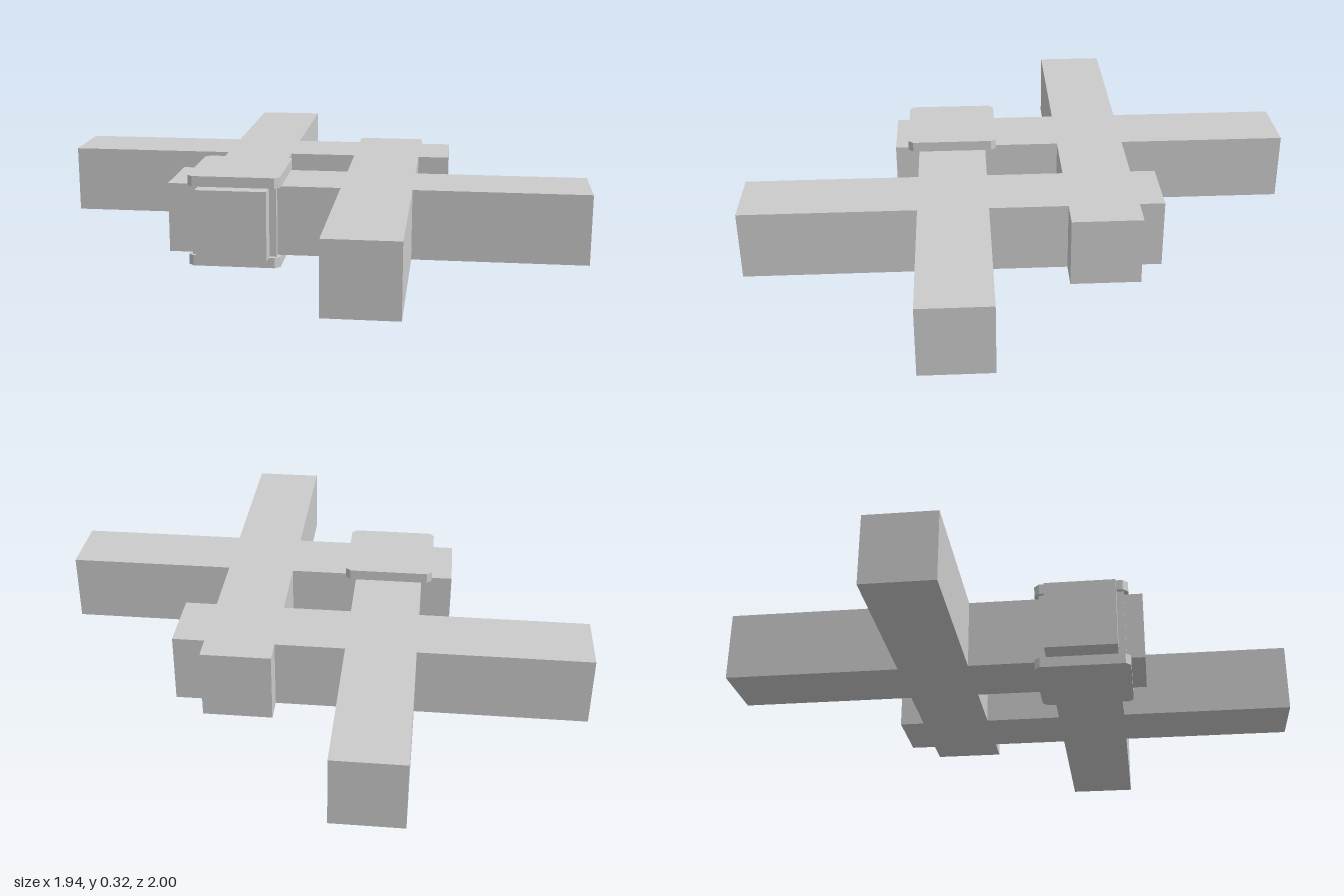
import * as THREE from 'three';

const GREY = new THREE.MeshStandardMaterial({ color: 0xcccccc, flatShading: true });

// Plan outline in (x, z), extruded between two heights
function slab(name, points, y0, y1, hole) {
  const shape = new THREE.Shape(points.map(([x, z]) => new THREE.Vector2(x, z)));
  if (hole) shape.holes.push(new THREE.Path(hole.map(([x, z]) => new THREE.Vector2(x, z))));
  const geometry = new THREE.ExtrudeGeometry(shape, { depth: y1 - y0, bevelEnabled: false });
  geometry.rotateX(Math.PI / 2);
  geometry.translate(0, y1, 0);
  const mesh = new THREE.Mesh(geometry, GREY);
  mesh.name = name;
  return mesh;
}

export function createModel() {
  const group = new THREE.Group();
  group.name = 'crossedBeams';
  const low = 0.037, high = 0.283, top = 0.32;

  // Four interlocking beams: inner and outer edges, then half the outline, turned for the rest
  const a = 0.122, b = 0.367, c = 0.137, d = 0.384;
  const half = [
    [b, c], [0.97, c], [0.97, d], [b, d], [b, 1], [a, 1], [a, d],
    [-a, d], [-a, 0.473], [-b, 0.473], [-b, d], [-0.48, d], [-0.48, c], [-b, c],
  ];
  const outline = [...half, ...half.map(([x, z]) => [-x, -z])];
  const hole = [[-a, -c], [-a, c], [a, c], [a, -c]];
  group.add(slab('beamLattice', outline, low, high, hole));

  // Clamp around one crossing: top and bottom plates with clipped corners
  const cx = -(a + b) / 2, cz = (c + d) / 2;
  const w = 0.161, l = 0.164, k = 0.018;
  const plate = [
    [w, l - k], [w - k, l], [k - w, l], [-w, l - k],
    [-w, k - l], [k - w, -l], [w - k, -l], [w, k - l],
  ].map(([x, z]) => [cx + x, cz + z]);
  group.add(slab('clampTopPlate', plate, high, top));
  group.add(slab('clampBottomPlate', plate, 0, low));

  // Slim corner posts joining the plates
  const t = 0.025;
  for (const sx of [-1, 1]) for (const sz of [-1, 1]) {
    const post = new THREE.Mesh(new THREE.BoxGeometry(t, high - low, t), GREY);
    post.name = 'clampCornerPost';
    post.position.set(cx + sx * ((b - a) / 2 + t / 2), (low + high) / 2, cz + sz * ((d - c) / 2 + t / 2));
    group.add(post);
  }
  return group;
}
